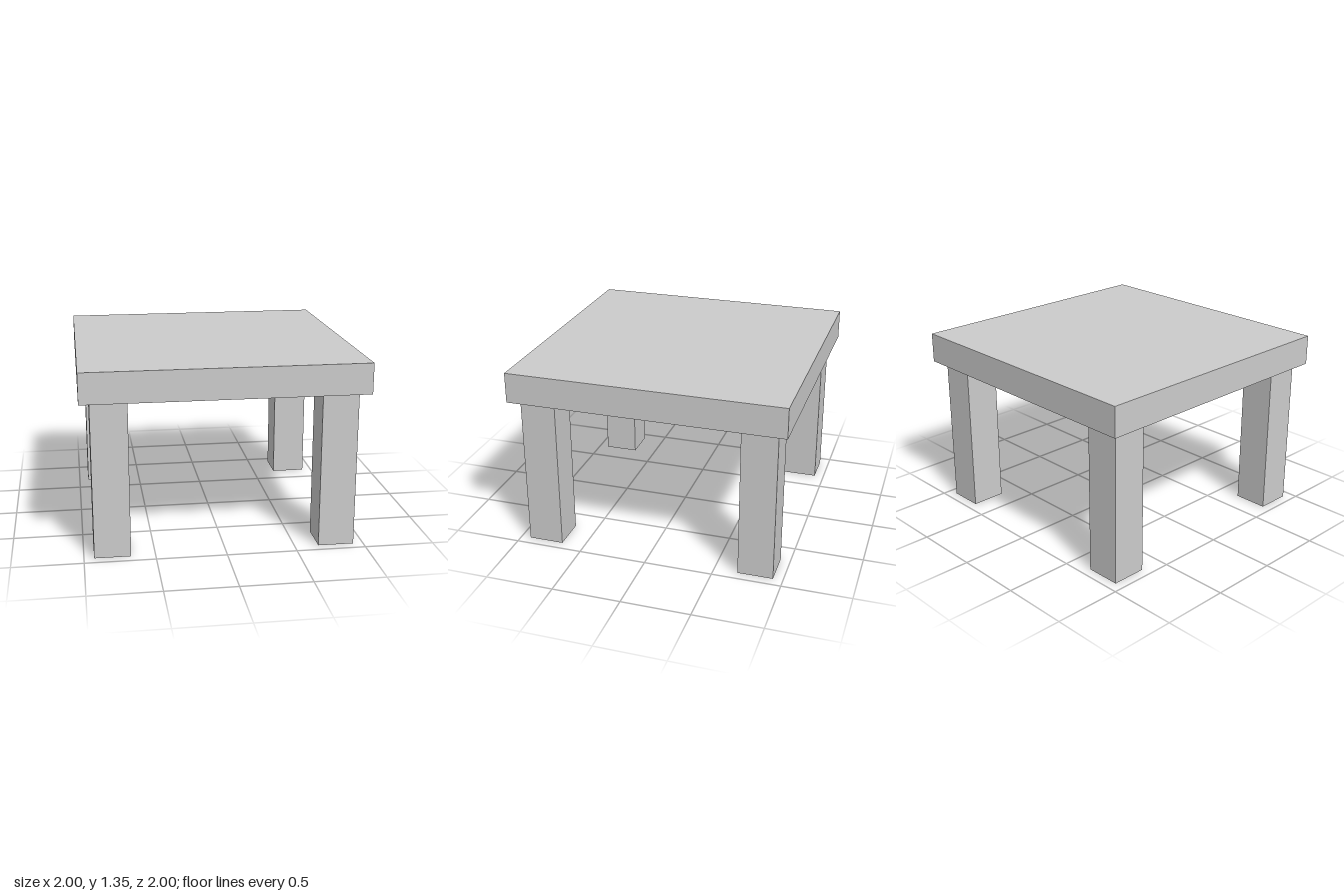
import * as THREE from 'three';

export function createModel() {
  const table = new THREE.Group();
  table.name = 'table';

  const legHeight = 1.13, legWidth = 0.257, legOffset = 0.8, topThickness = 0.22;

  // Solid square slab
  const slabMaterial = new THREE.MeshStandardMaterial({ color: 0xcccccc, flatShading: true });
  const tableTop = new THREE.Mesh(new THREE.BoxGeometry(2, topThickness, 2), slabMaterial);
  tableTop.name = 'tableTop';
  tableTop.position.y = legHeight + topThickness / 2;
  table.add(tableTop);

  // Square hollow legs, open at the foot
  const legMaterial = new THREE.MeshStandardMaterial({
    color: 0xcccccc, flatShading: true, side: THREE.DoubleSide,
  });
  const radius = legWidth / Math.SQRT2;
  const legGeometry = new THREE.CylinderGeometry(radius, radius, legHeight, 4, 1, true);
  legGeometry.rotateY(Math.PI / 4);
  for (const [sideName, x] of [['Left', 1], ['Right', -1]]) {
    for (const [endName, z] of [['front', 1], ['back', -1]]) {
      const leg = new THREE.Mesh(legGeometry, legMaterial);
      leg.name = `${endName}${sideName}Leg`;
      leg.position.set(x * legOffset, legHeight / 2, z * legOffset);
      table.add(leg);
    }
  }

  return table;
}
